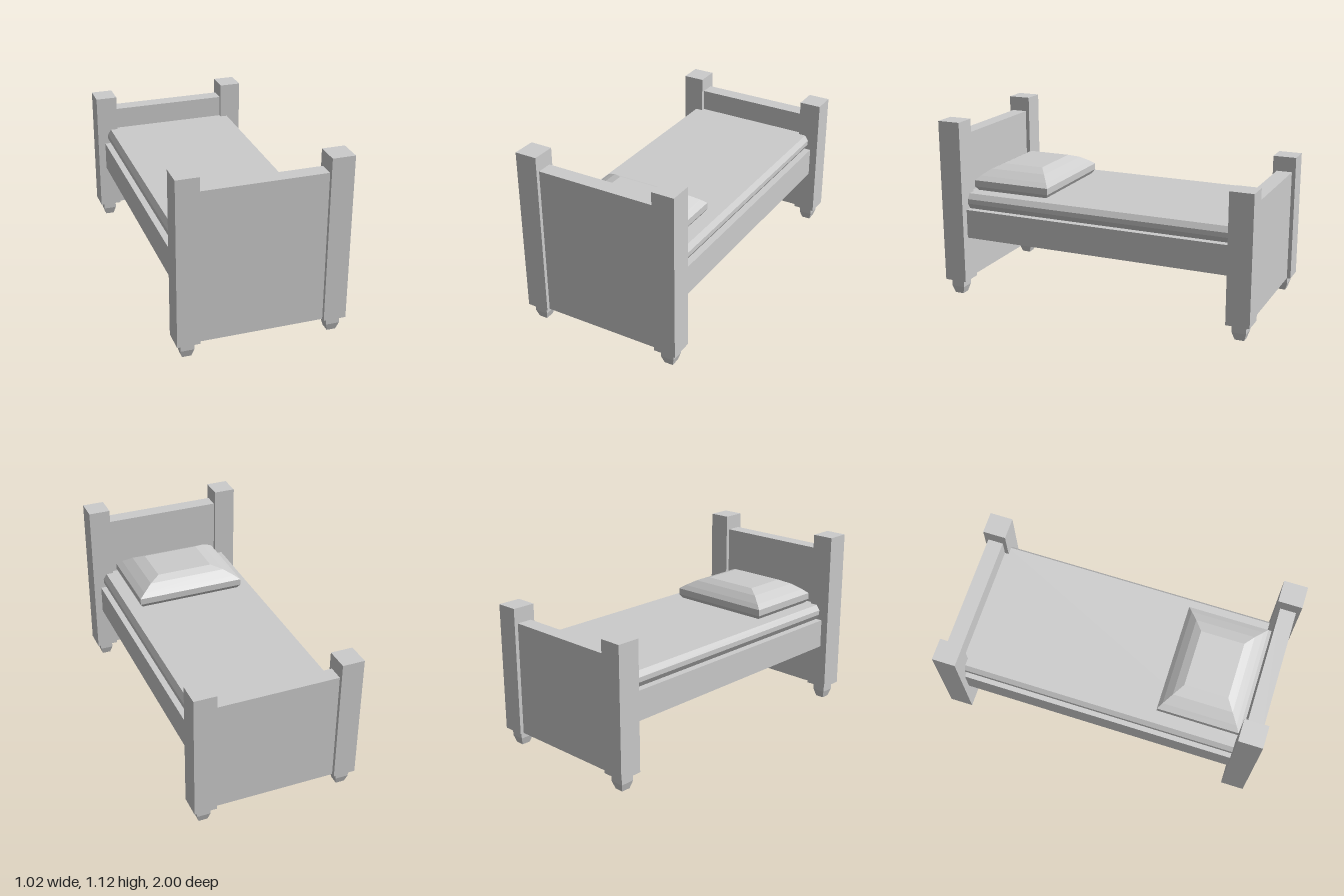
import * as THREE from 'three';

const grey = new THREE.MeshStandardMaterial({ color: 0xcccccc });
grey.name = 'grey';

// Flat-faced solid through stacked rectangles, each [y, halfWidthX, halfDepthZ], bottom first
function loft(rings) {
  const pos = [];
  const corners = rings.map(([y, hx, hz]) =>
    [[-hx, y, hz], [hx, y, hz], [hx, y, -hz], [-hx, y, -hz]]);
  const quad = (a, b, c, d) => pos.push(...a, ...b, ...c, ...a, ...c, ...d);
  for (let i = 0; i < corners.length - 1; i++) {
    const lo = corners[i], hi = corners[i + 1];
    for (let k = 0; k < 4; k++) {
      const n = (k + 1) % 4;
      quad(lo[k], lo[n], hi[n], hi[k]);
    }
  }
  const bottom = corners[0], top = corners[corners.length - 1];
  quad(top[0], top[1], top[2], top[3]);
  quad(bottom[3], bottom[2], bottom[1], bottom[0]);
  const geo = new THREE.BufferGeometry();
  geo.setAttribute('position', new THREE.Float32BufferAttribute(pos, 3));
  geo.computeVertexNormals();
  return geo;
}

export function createModel() {
  const bed = new THREE.Group();
  bed.name = 'bed';

  const add = (parent, name, geo, x, y, z) => {
    const mesh = new THREE.Mesh(geo, grey);
    mesh.name = name;
    mesh.position.set(x, y, z);
    parent.add(mesh);
  };
  // Box spanning y0 to y1
  const box = (parent, name, w, d, y0, y1, x, z) =>
    add(parent, name, new THREE.BoxGeometry(w, y1 - y0, d), x, (y0 + y1) / 2, z);

  // Headboard at the front, lower footboard at the back
  const footGeo = loft([[0, 0.027, 0.028], [0.048, 0.041, 0.043], [0.096, 0.041, 0.043]]);
  for (const [name, side, postTop, panelTop] of [
    ['headboard', 1, 1.118, 1.025],
    ['footboard', -1, 0.885, 0.792],
  ]) {
    const end = new THREE.Group();
    end.name = name;
    box(end, name + 'Panel', 0.76, 0.096, 0.096, panelTop, 0, side * 0.929);
    for (const sx of [-1, 1]) {
      box(end, name + 'Post', 0.136, 0.144, 0.096, postTop, sx * 0.44, side * 0.928);
      add(end, name + 'Foot', footGeo, sx * 0.441, 0, side * 0.93);
    }
    bed.add(end);
  }

  // Base with its side rails
  box(bed, 'base', 0.922, 1.77, 0.377, 0.558, 0, 0);

  // Mattress with bevelled long edges
  add(bed, 'mattress', loft([
    [0.558, 0.418, 0.885], [0.593, 0.44, 0.885], [0.622, 0.44, 0.885], [0.655, 0.418, 0.885],
  ]), 0, 0, 0);

  // Pillow, domed above and tucked in below
  add(bed, 'pillow', loft([
    [0.655, 0.328, 0.238], [0.68, 0.345, 0.254], [0.72, 0.345, 0.254],
    [0.745, 0.31, 0.229], [0.78, 0.25, 0.185], [0.804, 0.18, 0.136],
  ]), 0, 0, 0.605);

  return bed;
}
